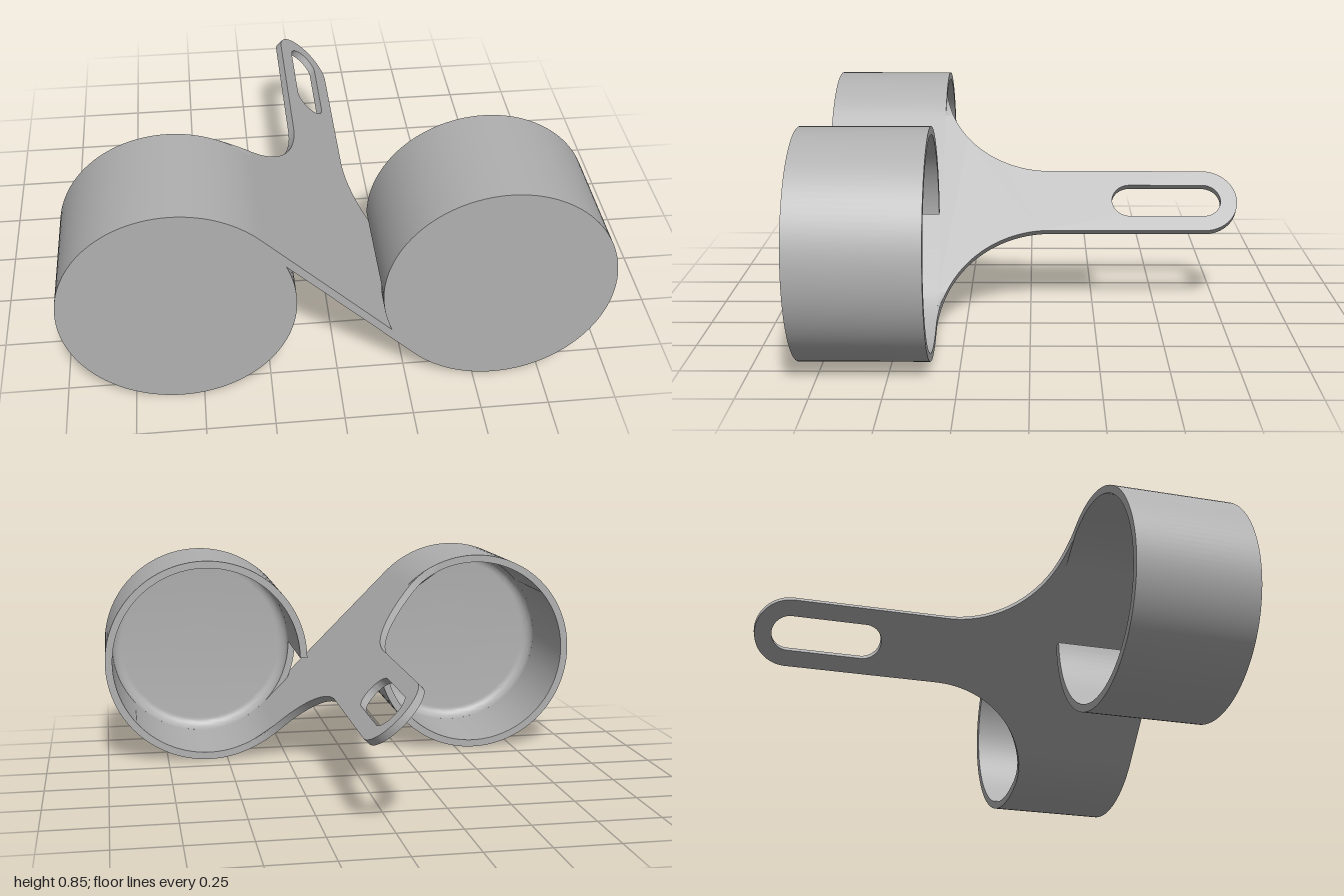
import * as THREE from 'three';
import { toCreasedNormals } from 'three/addons/utils/BufferGeometryUtils.js';

const R = 0.423;            // outer cup radius
const T = 0.03;             // sheet thickness
const RM = R - T / 2;       // mid-sheet radius
const CX = RM * Math.SQRT2; // cup centre offset, so the web lies at 45 degrees
const L = RM;               // half length of the straight web
const BACK = 0.355, FRONT = 0.825;

// Rolls a flat sheet (x = along the S, y = depth, z = thickness) into the S section
function bend(geometry) {
  const p = geometry.attributes.position;
  for (let i = 0; i < p.count; i++) {
    const sign = p.getX(i) > 0 ? -1 : 1;
    const s = Math.abs(p.getX(i)), t = -p.getZ(i) * sign, depth = p.getY(i);
    let x, y;
    if (s <= L) {
      x = (-s + t) * Math.SQRT1_2;
      y = (s + t) * Math.SQRT1_2;
    } else {
      const a = Math.PI / 4 + (s - L) / RM;
      x = -CX + (RM + t) * Math.cos(a);
      y = (RM + t) * Math.sin(a);
    }
    p.setXYZ(i, sign * x, R + sign * y, depth);
  }
  geometry.computeVertexNormals();
  return geometry;
}

function sheet(shape) {
  const g = new THREE.ExtrudeGeometry(shape, { depth: T, bevelEnabled: false, curveSegments: 24 });
  g.translate(0, 0, -T / 2);
  return toCreasedNormals(bend(g), 0.5);
}

export function createModel() {
  const model = new THREE.Group();
  const grey = new THREE.MeshStandardMaterial({ color: 0xb0b0b0 });
  grey.name = 'grey';
  const add = (name, geometry) => {
    const mesh = new THREE.Mesh(geometry, grey);
    mesh.name = name;
    model.add(mesh);
    return mesh;
  };

  // S-shaped band: both cup walls and the web between them
  const half = L + RM * Math.PI * 1.75;
  const band = new THREE.BoxGeometry(half * 2, FRONT - BACK, T, 240, 1, 1);
  band.translate(0, (FRONT + BACK) / 2, 0);
  add('cupWallsAndWeb', bend(band));

  // Cup floors with a filleted inner corner
  const fillet = 0.045, floorZ = 0.8, ri = R - T;
  const profile = [new THREE.Vector2(0, floorZ)];
  for (let i = 0; i <= 8; i++) {
    const a = (i / 8) * Math.PI / 2;
    profile.push(new THREE.Vector2(ri - fillet + fillet * Math.sin(a), floorZ - fillet + fillet * Math.cos(a)));
  }
  const ro = R - 0.0005;
  profile.push(new THREE.Vector2(ro, floorZ - fillet), new THREE.Vector2(ro, FRONT), new THREE.Vector2(0, FRONT));
  const floor = toCreasedNormals(new THREE.LatheGeometry(profile, 96).rotateX(Math.PI / 2), 0.5);
  for (const [name, x] of [['rightCupFloor', -CX], ['leftCupFloor', CX]]) {
    add(name, floor).position.set(x, R, 0);
  }

  // Mounting tail: flared root, straight tongue, round end and a long slot
  const w = 0.137, flare = 0.433, edge = w + flare, flareZ = BACK - flare;
  const tipZ = -FRONT + w;
  const startAngle = Math.acos((edge - L) / flare); // where the flare leaves the flat web
  const tail = new THREE.Shape();
  tail.moveTo(L, BACK);
  tail.lineTo(-L, BACK);
  tail.absarc(-edge, flareZ, flare, startAngle, 0, true);
  tail.lineTo(-w, tipZ);
  tail.absarc(0, tipZ, w, Math.PI, Math.PI * 2, false);
  tail.lineTo(w, flareZ);
  tail.absarc(edge, flareZ, flare, Math.PI, Math.PI - startAngle, true);
  const slot = new THREE.Path(), sr = 0.071;
  slot.absarc(0, tipZ, sr, Math.PI, Math.PI * 2, false);
  slot.absarc(0, -0.325 - sr, sr, 0, Math.PI, false);
  slot.closePath();
  tail.holes.push(slot);
  add('mountingTail', sheet(tail));

  // Flare tips that wrap on to the round cup walls
  for (const [name, side] of [['rightFlareTip', -1], ['leftFlareTip', 1]]) {
    const points = [];
    for (let i = 0; i <= 12; i++) {
      const s = L + (edge - L) * i / 12;
      points.push(new THREE.Vector2(side * s, flareZ + Math.sqrt(flare ** 2 - (edge - s) ** 2)));
    }
    for (let i = 11; i >= 0; i--) points.push(new THREE.Vector2(side * (L + (edge - L) * i / 12), BACK));
    add(name, sheet(new THREE.Shape(points)));
  }
  return model;
}
